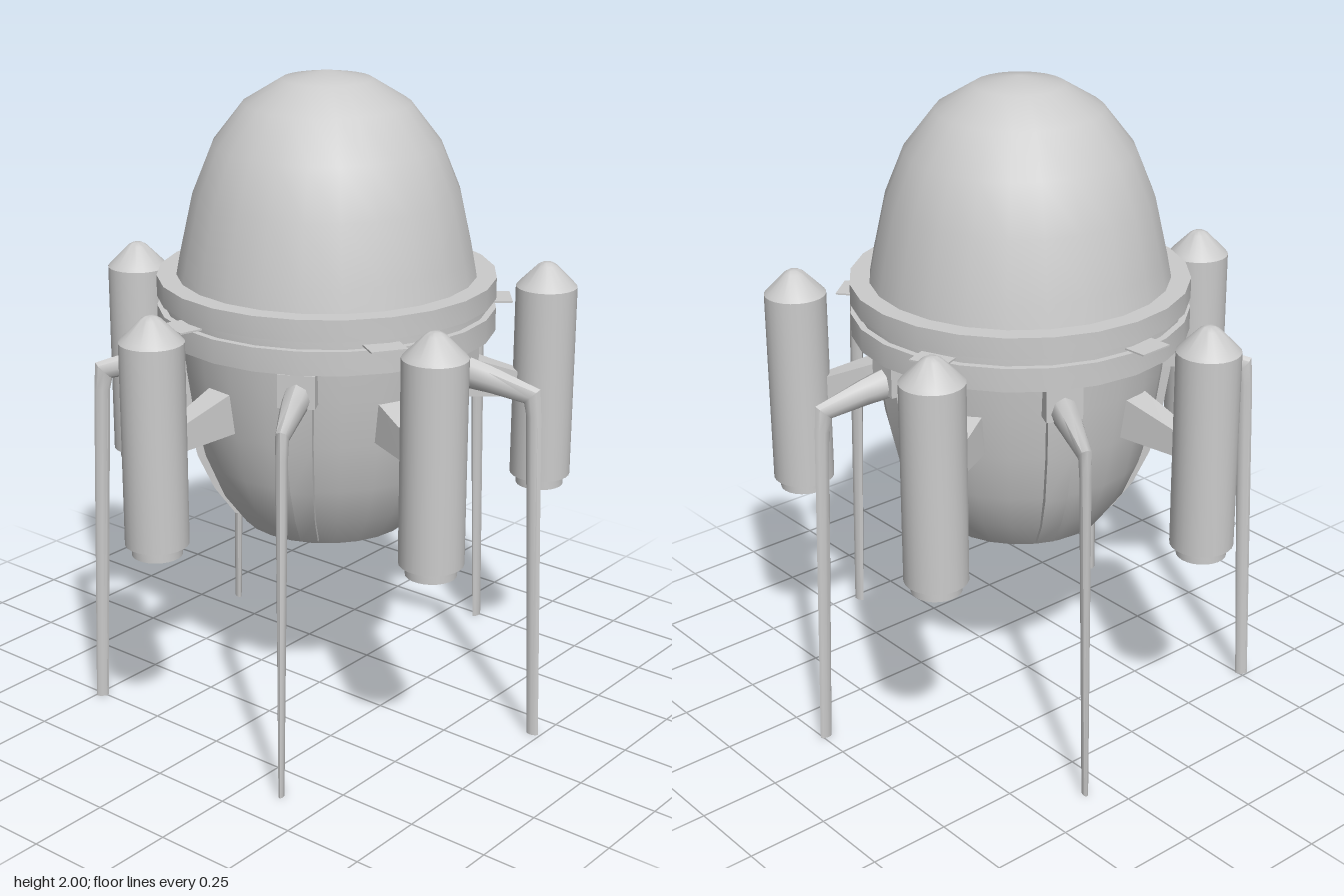
import * as THREE from 'three';
import { toCreasedNormals } from 'three/addons/utils/BufferGeometryUtils.js';

const material = new THREE.MeshStandardMaterial({ color: 0xcccccc, side: THREE.DoubleSide });

function part(name, geometry, crease = 0.6) {
  const mesh = new THREE.Mesh(toCreasedNormals(geometry, crease), material);
  mesh.name = name;
  return mesh;
}

// Turned part from [radius, y] points, listed from bottom to top
function turned(name, points, sides, crease) {
  const profile = points.map(([r, y]) => new THREE.Vector2(r, y));
  return part(name, new THREE.LatheGeometry(profile, sides), crease);
}

// Skin over equal-sized cross-sections, each counterclockwise about the travel direction
function loft(name, sections, crease) {
  const n = sections[0].length;
  const last = (sections.length - 1) * n;
  const index = [];
  for (let i = 0; i < last; i += n) {
    for (let k = 0; k < n; k++) {
      const a = i + k, b = i + (k + 1) % n;
      index.push(a, b, b + n, a, b + n, a + n);
    }
  }
  for (let k = 1; k < n - 1; k++) {
    index.push(0, k + 1, k, last, last + k, last + k + 1);
  }
  const geometry = new THREE.BufferGeometry();
  geometry.setAttribute('position', new THREE.Float32BufferAttribute(sections.flat(2), 3));
  geometry.setIndex(index);
  return part(name, geometry, crease);
}

function box(name, w, h, d, x, y) {
  const mesh = part(name, new THREE.BoxGeometry(w, h, d));
  mesh.position.set(x, y, 0);
  return mesh;
}

// Landing leg, pointing along +x: raised hull rib, hip block, arm and shin
function makeLeg() {
  const leg = new THREE.Group();
  leg.name = 'landingLeg';

  // [hull radius, y, half width]
  const rib = [[0.27, 0.62, 0.027], [0.335, 0.71, 0.03], [0.385, 0.82, 0.034],
    [0.42, 0.97, 0.038], [0.44, 1.1, 0.042], [0.45, 1.21, 0.045]];
  leg.add(loft('hullRib', rib.map(([r, y, w]) => [
    [r - 0.04, y, w], [r + 0.02, y, w], [r + 0.02, y, -w], [r - 0.04, y, -w],
  ])));
  leg.add(box('hipBlock', 0.08, 0.1, 0.11, 0.445, 1.165));

  // [x, y, in-plane half axis x, y, sideways half axis]
  const limb = [[0.42, 1.15, 0, 0.055, 0.045], [0.55, 1.13, 0.003, 0.042, 0.035],
    [0.683, 1.1, 0.025, 0.025, 0.02], [0.69, 1.04, 0.024, 0, 0.018], [0.725, 0, 0.019, 0, 0.009]];
  leg.add(loft('armAndShin', limb.map(([x, y, ux, uy, w]) =>
    Array.from({ length: 8 }, (_, k) => {
      const c = Math.cos(k * Math.PI / 4), s = Math.sin(k * Math.PI / 4);
      return [x + ux * c, y + uy * c, w * s];
    })), 0.85));
  return leg;
}

// Booster pod with its bracket, pointing along +x
function makePod() {
  const pod = new THREE.Group();
  pod.name = 'boosterPod';
  const tank = turned('podBody', [
    [0, 0.695], [0.058, 0.695], [0.065, 0.665], [0.075, 0.665], [0.075, 0.7], [0.095, 0.7],
    [0.095, 1.315], [0.086, 1.325], [0.03, 1.382], [0.016, 1.39], [0, 1.392],
  ], 24);
  tank.position.x = 0.685;
  pod.add(tank);

  // [x, bottom y, top y, half width]
  const bracket = [[0.38, 0.985, 1.115, 0.05], [0.44, 0.98, 1.105, 0.045], [0.62, 0.965, 1.04, 0.026]];
  pod.add(loft('podBracket', bracket.map(([x, lo, hi, w]) => [
    [x, hi, -w], [x, hi, w], [x, lo, w], [x, lo, -w],
  ])));

  // Thin tab sticking out of the gap between the rings, a little to one side
  const tab = new THREE.Group();
  tab.name = 'ringTab';
  tab.add(box('tabPlate', 0.11, 0.005, 0.11, 0.506, 1.306));
  tab.rotation.y = THREE.MathUtils.degToRad(-7.5);
  pod.add(tab);
  return pod;
}

export function createModel() {
  const model = new THREE.Group();
  model.name = 'landerCapsule';

  // Body
  model.add(turned('dome', [
    [0.457, 1.38], [0.442, 1.46], [0.402, 1.64], [0.343, 1.785],
    [0.25, 1.905], [0.135, 1.975], [0, 2],
  ], 24, 0.8));
  model.add(turned('lowerHull', [
    [0, 0.54], [0.16, 0.56], [0.265, 0.605], [0.335, 0.7], [0.385, 0.82],
    [0.42, 0.97], [0.442, 1.12], [0.455, 1.24],
  ], 24, 0.45));
  model.add(turned('doubleRing', [
    [0.44, 1.225], [0.515, 1.225], [0.515, 1.297], [0.495, 1.297], [0.495, 1.325],
    [0.515, 1.325], [0.515, 1.39], [0.45, 1.39],
  ], 24));

  // Five legs alternating with five pods
  for (let i = 0; i < 5; i++) {
    const leg = makeLeg();
    leg.rotation.y = THREE.MathUtils.degToRad(10.8 + 72 * i);
    const pod = makePod();
    pod.rotation.y = THREE.MathUtils.degToRad(47 + 72 * i);
    model.add(leg, pod);
  }

  model.position.set(0.012, 0, -0.02);
  return model;
}
